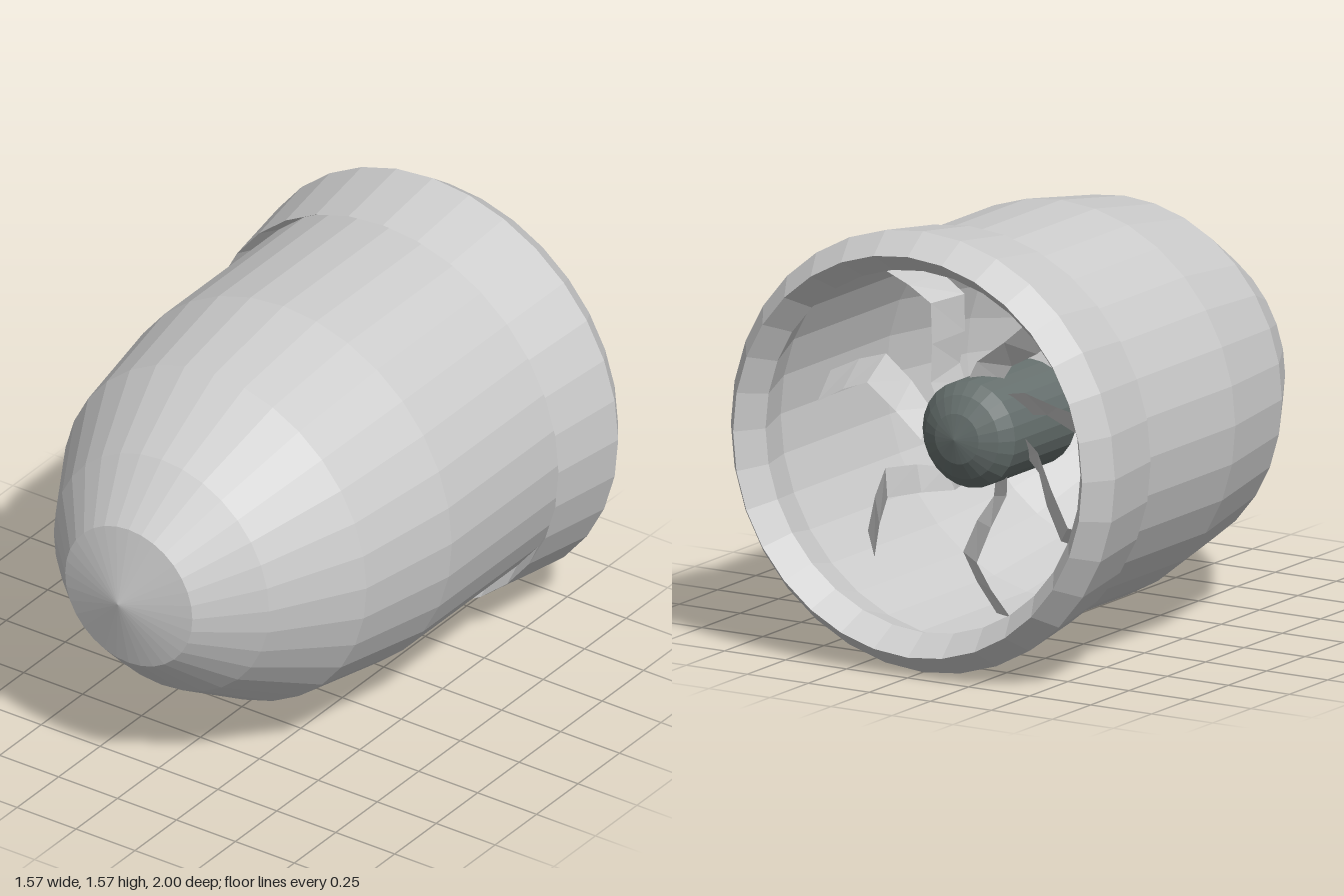
import * as THREE from 'three';

const AXIS_Y = 0.787;
const BLADES = 7;

const makeMaterial = (color) =>
  new THREE.MeshStandardMaterial({ color, flatShading: true, side: THREE.DoubleSide });

// Turned part along the z axis; profile points are [radius, z]
function turned(name, profile, sides, material) {
  const geometry = new THREE.LatheGeometry(profile.map(([r, z]) => new THREE.Vector2(r, z)), sides);
  geometry.rotateX(Math.PI / 2);
  const mesh = new THREE.Mesh(geometry, material);
  mesh.name = name;
  return mesh;
}

// Thin S-curved strip; each station is [radius, sweep angle in degrees]
function bladeGeometry() {
  const stations = [[0.17, -12], [0.24, -3], [0.34, 13], [0.47, 20], [0.56, 13], [0.66, 6]];
  const positions = [], index = [];
  stations.forEach(([r, degrees], i) => {
    const a = THREE.MathUtils.degToRad(degrees);
    for (const s of [-0.5, 0.5]) {
      // The chord leans partly round the hub and partly along it
      positions.push(
        r * Math.cos(a) - s * 0.1 * Math.sin(a),
        r * Math.sin(a) + s * 0.1 * Math.cos(a),
        -0.5 + s * 0.07
      );
    }
    if (i > 0) {
      const k = 2 * i;
      index.push(k - 2, k, k - 1, k - 1, k, k + 1);
    }
  });
  const geometry = new THREE.BufferGeometry();
  geometry.setAttribute('position', new THREE.Float32BufferAttribute(positions, 3));
  geometry.setIndex(index);
  geometry.computeVertexNormals();
  return geometry;
}

export function createModel() {
  const model = new THREE.Group();
  model.name = 'ductedThruster';
  const assembly = new THREE.Group();
  assembly.name = 'thruster';
  assembly.position.y = AXIS_Y;
  model.add(assembly);

  const grey = makeMaterial(0xcccccc);
  const dark = makeMaterial(0x66706e);

  // Hollow shell with a blunt pointed nose, open at the back
  assembly.add(turned('shell', [
    [0.715, -0.7], [0.715, -0.6], [0.715, 0], [0.645, 0.415],
    [0.457, 0.735], [0.27, 0.932], [0, 1]
  ], 32, grey));

  // Flared exhaust ring, wedge-shaped in section
  assembly.add(turned('exhaustRing', [
    [0.745, -0.6], [0.645, -0.9], [0.715, -1], [0.787, -0.9], [0.745, -0.6]
  ], 32, grey));

  // Fan hub with a domed end
  assembly.add(turned('fanHub', [
    [0, -0.7], [0.09, -0.68], [0.15, -0.645], [0.19, -0.6], [0.19, -0.2], [0, -0.2]
  ], 24, dark));

  // Fan blades
  const fan = new THREE.Group();
  fan.name = 'fanBlades';
  const blade = bladeGeometry();
  for (let i = 0; i < BLADES; i++) {
    const mesh = new THREE.Mesh(blade, grey);
    mesh.name = 'fanBlade';
    mesh.rotation.z = (i / BLADES) * Math.PI * 2;
    fan.add(mesh);
  }
  assembly.add(fan);

  return model;
}
